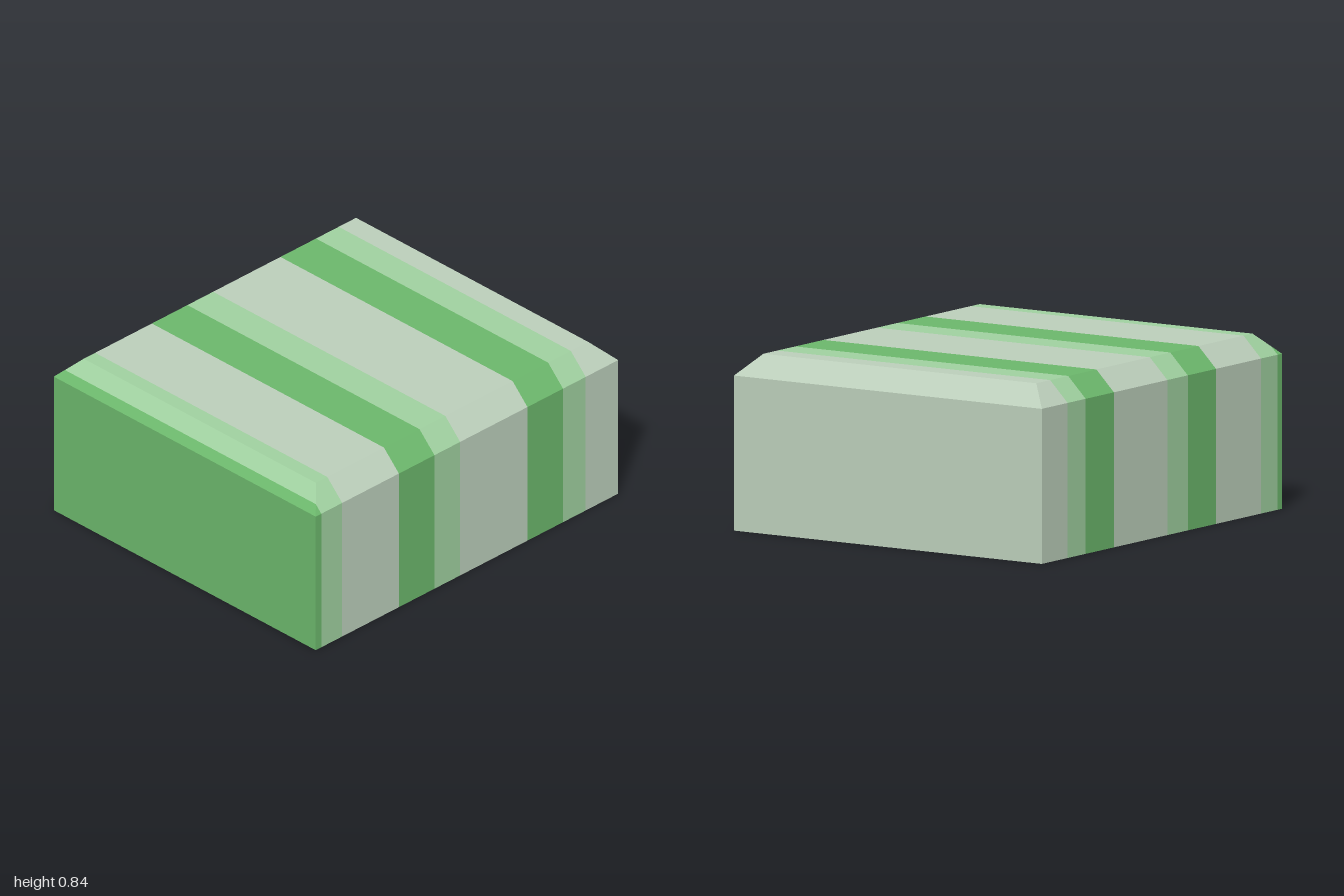
import * as THREE from 'three';

const HALF_W = 0.88, SHOULDER = 0.74, BEVEL = 0.1;

const mat = (name, color) => {
  const m = new THREE.MeshStandardMaterial({ color });
  m.name = name;
  return m;
};

// Cross-section of the bevelled block at depth z, anticlockwise seen from the front
function section(z) {
  const d = Math.min(BEVEL, 1 - Math.abs(z));
  const w = HALF_W - d, h = SHOULDER + d;
  return [[HALF_W, 0], [HALF_W, SHOULDER], [w, h], [-w, h], [-HALF_W, SHOULDER], [-HALF_W, 0]]
    .map(([x, y]) => new THREE.Vector3(x, y, z));
}

// Skin between consecutive sections, closed only at the block's two ends
function bandGeometry(front, back) {
  const zs = [front, 0.9, -0.9, back].filter((z, i) => i === 0 || i === 3 || (z < front && z > back));
  const rings = zs.map(section);
  const pos = [];
  const tri = (a, b, c) => {
    if (new THREE.Triangle(a, b, c).getArea() > 1e-7) pos.push(...a.toArray(), ...b.toArray(), ...c.toArray());
  };
  for (let k = 0; k + 1 < rings.length; k++) {
    const a = rings[k], b = rings[k + 1];
    for (let i = 0; i < 6; i++) {
      const j = (i + 1) % 6;
      tri(a[i], b[i], b[j]);
      tri(a[i], b[j], a[j]);
    }
  }
  const first = rings[0], last = rings[rings.length - 1];
  for (let i = 1; i < 5; i++) {
    if (front === 1) tri(first[0], first[i], first[i + 1]);
    if (back === -1) tri(last[0], last[i + 1], last[i]);
  }
  const g = new THREE.BufferGeometry();
  g.setAttribute('position', new THREE.Float32BufferAttribute(pos, 3));
  g.computeVertexNormals();
  return g;
}

export function createModel() {
  const group = new THREE.Group();
  group.name = 'stripedBlock';
  const stripes = [
    ['greenStripe', mat('leaf green', 0x6cb86c)],
    ['lightStripe', mat('light green', 0xa0d1a0)],
    ['paleStripe', mat('pale grey green', 0xbccfbb)],
  ];
  // Stripe edges from front to back; the three colours repeat in order
  const edges = [1, 0.963, 0.825, 0.45, 0.215, 0.045, -0.4, -0.635, -0.785, -1];
  for (let i = 0; i + 1 < edges.length; i++) {
    const [name, material] = stripes[i % 3];
    const mesh = new THREE.Mesh(bandGeometry(edges[i], edges[i + 1]), material);
    mesh.name = name + (Math.floor(i / 3) + 1);
    group.add(mesh);
  }
  return group;
}
